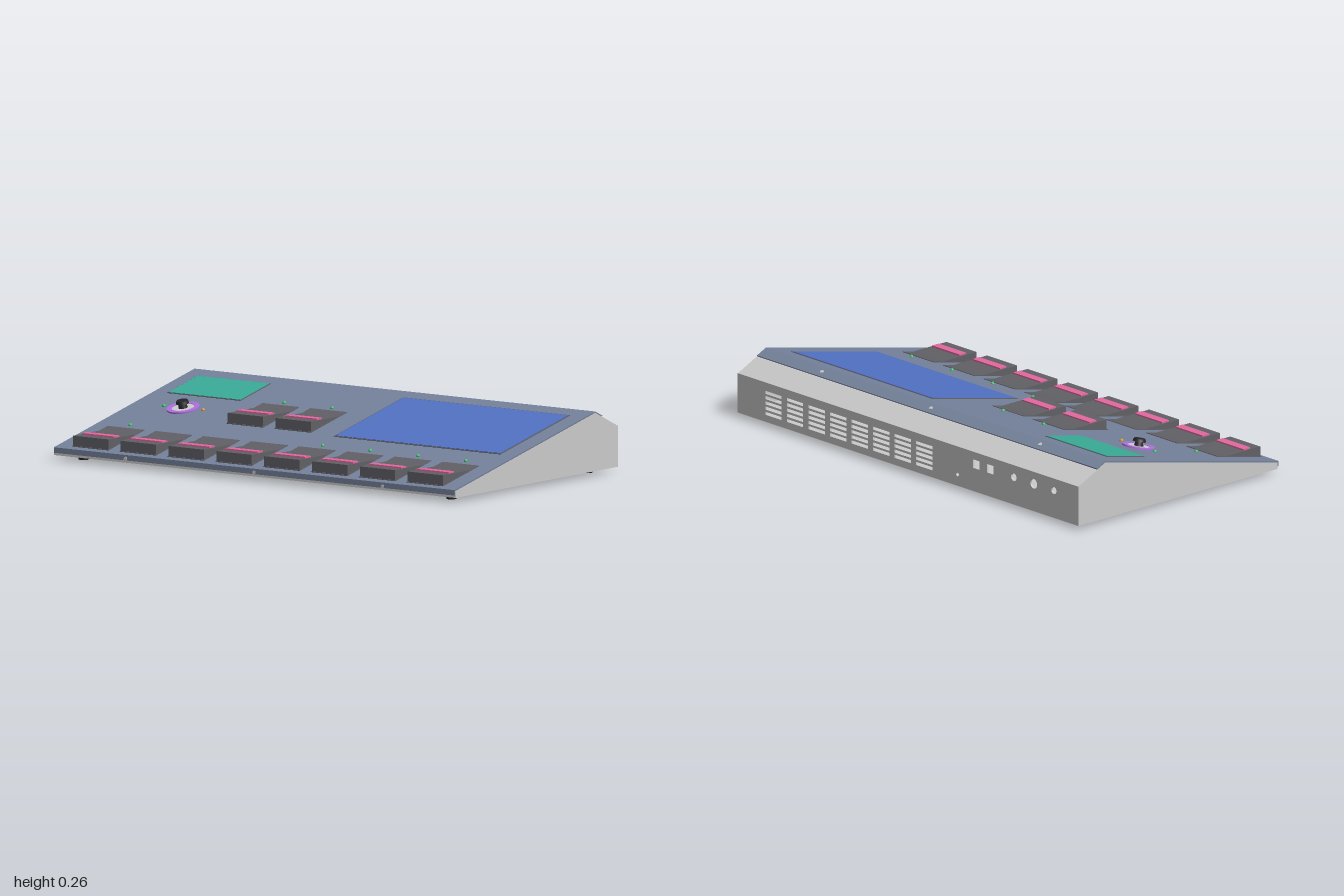
import * as THREE from 'three';

const mat = (color, side = THREE.FrontSide) => new THREE.MeshStandardMaterial({ color, side });
const GREY = mat(0xcccccc), SLATE = mat(0x75829b), DARK = mat(0x606066), BLACK = mat(0x252528);
const PINK = mat(0xe4689f), BLUE = mat(0x5272c4), TEAL = mat(0x3aac98), PURPLE = mat(0xb070e0);
const GREEN = mat(0x3fbf6a), ORANGE = mat(0xd09a30);

// Height and tilt of the sloping control panel
const SLOPE = 0.208 / 0.94, TILT = Math.atan(SLOPE);
const panelY = (x) => 0.052 + (x + 0.545) * SLOPE;

function add(parent, name, geometry, material, x = 0, y = 0, z = 0) {
  const mesh = new THREE.Mesh(geometry, material);
  mesh.name = name;
  mesh.position.set(x, y, z);
  parent.add(mesh);
  return mesh;
}

// Profile in x, y extruded along z and centred on z = 0
function prism(points, width) {
  const shape = new THREE.Shape(points.map(([x, y]) => new THREE.Vector2(x, y)));
  return new THREE.ExtrudeGeometry(shape, { depth: width, bevelEnabled: false }).translate(0, 0, -width / 2);
}

// Part lying on the panel, lifted along its normal
function onPanel(parent, name, geometry, material, x, z, lift = 0) {
  const mesh = add(parent, name, geometry, material,
    x - Math.sin(TILT) * lift, panelY(x) + Math.cos(TILT) * lift, z);
  mesh.rotation.z = TILT;
  return mesh;
}

function rectPath(cx, cy, w, h) {
  return new THREE.Path([[-1, -1], [-1, 1], [1, 1], [1, -1]].map(
    ([a, b]) => new THREE.Vector2(cx + a * w / 2, cy + b * h / 2)));
}

// Back wall with vents and sockets; the shape's x runs along -z
function backWall() {
  const shape = new THREE.Shape([[-1, 0.02], [1, 0.02], [1, 0.185], [-1, 0.185]].map(
    ([x, y]) => new THREE.Vector2(x, y)));
  for (let col = 0; col < 8; col++) {
    for (let row = 0; row < 5; row++) {
      shape.holes.push(rectPath(-0.79 + col * 0.1265, 0.056 + row * 0.022, 0.096, 0.013));
    }
  }
  shape.holes.push(rectPath(0.4, 0.135, 0.036, 0.036), rectPath(0.482, 0.135, 0.036, 0.036));
  for (const [u, y, r] of [[0.62, 0.135, 0.016], [0.737, 0.135, 0.02], [0.855, 0.135, 0.015], [0.29, 0.068, 0.008]]) {
    shape.holes.push(new THREE.Path().absarc(u, y, r, 0, Math.PI * 2, true));
  }
  return new THREE.ExtrudeGeometry(shape, { depth: 0.008, bevelEnabled: false, curveSegments: 16 }).rotateY(Math.PI / 2);
}

// Wedge key with level top, dark bezel and pink stripe
function wedgeKey(x, z) {
  const key = new THREE.Group();
  key.name = 'wedgeKey';
  const top = panelY(x) + 0.043, end = x + 0.043 / SLOPE;
  onPanel(key, 'keyBezel', new THREE.BoxGeometry(0.246, 0.004, 0.182), DARK, x + 0.117, z, 0.0005);
  add(key, 'keyBody', prism([[x, panelY(x) - 0.005], [end, top - 0.005], [end, top], [x, top]], 0.176), DARK, 0, 0, z);
  add(key, 'keyStripe', new THREE.BoxGeometry(0.037, 0.008, 0.16), PINK, x + 0.067, top + 0.002, z);
  return key;
}

function joystick(x, z) {
  const stick = new THREE.Group();
  stick.name = 'joystick';
  const ring = new THREE.Shape().absarc(0, 0, 0.067, 0, Math.PI * 2);
  ring.holes.push(new THREE.Path().absarc(0, 0, 0.046, 0, Math.PI * 2, true));
  const ringGeo = new THREE.ExtrudeGeometry(ring, { depth: 0.006, bevelEnabled: false, curveSegments: 32 }).rotateX(-Math.PI / 2);
  onPanel(stick, 'joystickRing', ringGeo, PURPLE, x, z);
  onPanel(stick, 'joystickPlate', new THREE.CylinderGeometry(0.046, 0.046, 0.006, 32), GREY, x, z, 0.001);
  onPanel(stick, 'joystickShaft', new THREE.CylinderGeometry(0.014, 0.02, 0.022, 20), BLACK, x, z, 0.012);
  onPanel(stick, 'joystickCap', new THREE.CylinderGeometry(0.023, 0.027, 0.012, 24), BLACK, x, z, 0.028);
  return stick;
}

export function createModel() {
  const model = new THREE.Group();
  model.name = 'controlConsole';

  // Hollow sheet-metal case
  const sideProfile = [[-0.54, 0.02], [0.545, 0.02], [0.545, 0.185], [0.395, 0.254], [-0.54, 0.047]];
  for (const s of [-1, 1]) add(model, 'sideWall', prism(sideProfile, 0.008), GREY, 0, 0, s * 0.995);
  add(model, 'floor', new THREE.BoxGeometry(1.08, 0.006, 1.99), GREY, 0.003, 0.023, 0);
  add(model, 'frontWall', new THREE.BoxGeometry(0.006, 0.026, 1.99), GREY, -0.537, 0.033, 0);
  add(model, 'backWall', backWall(), GREY, 0.537, 0, 0);
  add(model, 'rearSlope', prism([[0.395, 0.246], [0.545, 0.177], [0.545, 0.185], [0.395, 0.254]], 1.998), GREY);

  // Folded top panel with front and rear lips
  add(model, 'topPanel', prism([[-0.545, 0.03], [-0.539, 0.03], [-0.539, 0.046], [0.395, 0.253],
    [0.44, 0.232], [0.443, 0.238], [0.395, 0.26], [-0.545, 0.052]], 1.994), SLATE);

  // Screens
  onPanel(model, 'mainScreenFrame', new THREE.BoxGeometry(0.476, 0.004, 0.83), DARK, 0.094, 0.508, 0);
  onPanel(model, 'mainScreen', new THREE.BoxGeometry(0.464, 0.006, 0.818), BLUE, 0.094, 0.508, 0.0005);
  onPanel(model, 'screenBoard', new THREE.BoxGeometry(0.46, 0.03, 0.8), BLUE, 0.094, 0.508, -0.03);
  onPanel(model, 'smallScreenFrame', new THREE.BoxGeometry(0.208, 0.004, 0.364), DARK, 0.222, -0.746, 0);
  onPanel(model, 'smallScreen', new THREE.BoxGeometry(0.2, 0.006, 0.356), TEAL, 0.222, -0.746, 0.0005);

  // Row of eight keys and a pair behind it
  for (let i = 0; i < 8; i++) {
    const z = -0.836 + i * 0.238;
    model.add(wedgeKey(-0.515, z));
    if (i === 2 || i === 3) model.add(wedgeKey(-0.12, z));
  }
  model.add(joystick(-0.016, -0.747));

  // Indicator lamps
  const lamps = [[-0.244, -0.84], [-0.244, 0.118], [-0.244, 0.355], [-0.244, 0.593], [-0.244, 0.83],
    [0.143, -0.362], [0.143, -0.124], [-0.016, -0.842], [-0.016, -0.647]];
  lamps.forEach(([x, z], i) => onPanel(model, 'lamp', new THREE.SphereGeometry(0.008, 12, 8),
    i === 8 ? ORANGE : GREEN, x, z, 0.002));

  // Screws on the lips and underside
  const screw = new THREE.CylinderGeometry(0.008, 0.008, 0.006, 12);
  for (const z of [-0.64, 0, 0.64]) {
    add(model, 'rearScrew', screw, GREY, 0.42, 0.249, z).rotation.z = -0.44;
    add(model, 'frontScrew', screw, GREY, -0.544, 0.037, z).rotation.z = Math.PI / 2;
  }
  for (const s of [-1, 1]) {
    for (const x of [-0.18, 0.175]) add(model, 'floorScrew', screw, GREY, x, 0.018, s * 0.965);
    add(model, 'floorScrew', screw, GREY, 0.51, 0.018, s * 0.965);
  }
  add(model, 'floorScrew', screw, GREY, 0.51, 0.018, 0);

  // Rubber feet
  for (const x of [-0.455, 0.455]) {
    for (const z of [-0.915, 0.915]) {
      add(model, 'foot', new THREE.CylinderGeometry(0.022, 0.02, 0.022, 24), BLACK, x, 0.011, z);
    }
  }
  return model;
}
